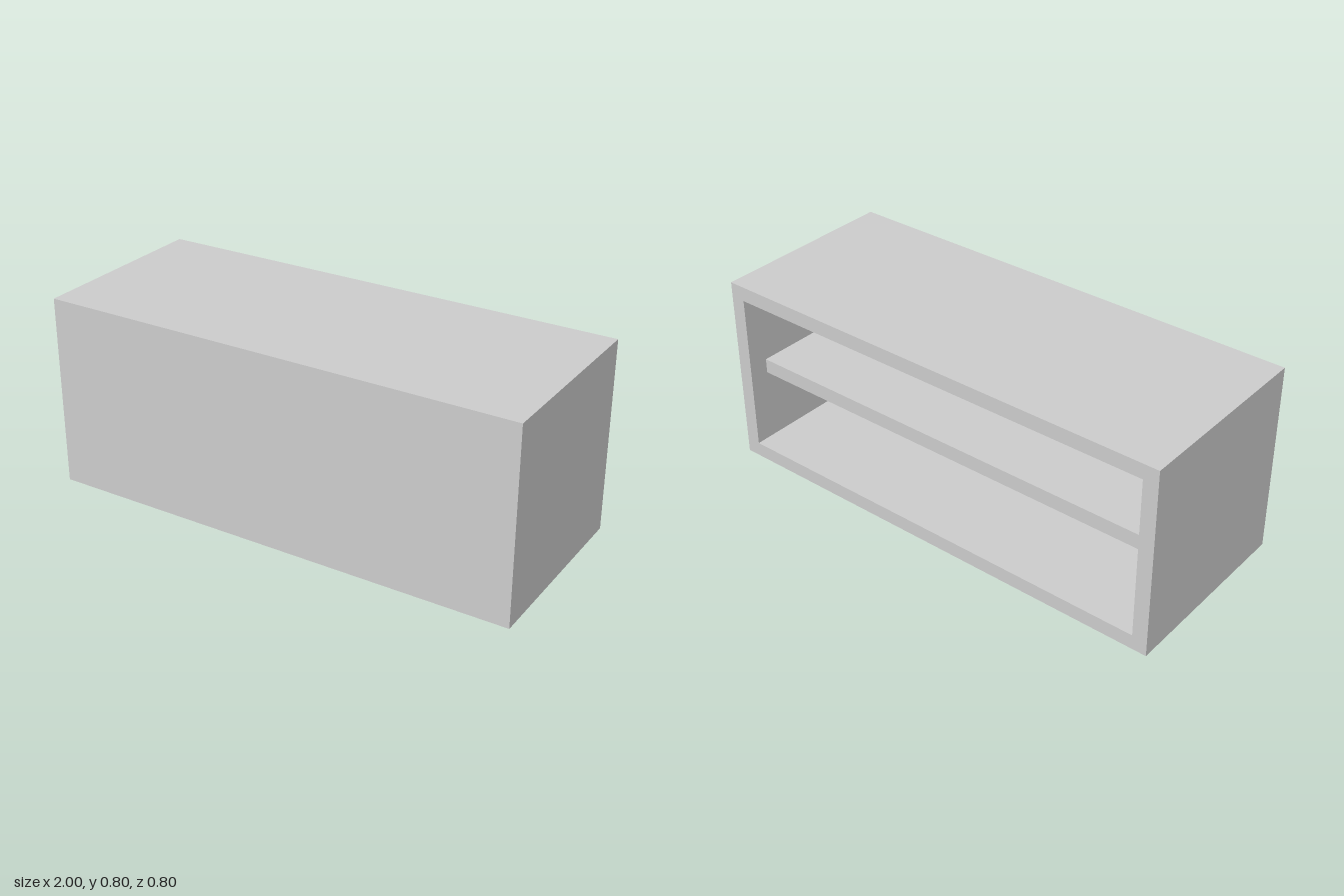
import * as THREE from 'three';

const W = 2, H = 0.8, D = 0.8; // outer size
const T = 0.062;               // board thickness
const RECESS = 0.084;          // shelf set back from the open rear

export function createModel() {
  const group = new THREE.Group();
  const material = new THREE.MeshStandardMaterial({ color: 0xcccccc });

  const add = (name, geometry, y, z) => {
    const mesh = new THREE.Mesh(geometry, material);
    mesh.name = name;
    mesh.position.set(0, y, z);
    group.add(mesh);
  };

  const rectangle = (Type, w, h) => new Type([
    new THREE.Vector2(-w / 2, -h / 2), new THREE.Vector2(w / 2, -h / 2),
    new THREE.Vector2(w / 2, h / 2), new THREE.Vector2(-w / 2, h / 2),
  ]);

  // Top, bottom and sides as one frame, open at the rear
  const outline = rectangle(THREE.Shape, W, H);
  outline.holes.push(rectangle(THREE.Path, W - 2 * T, H - 2 * T));
  const frame = new THREE.ExtrudeGeometry(outline, { depth: D - T, bevelEnabled: false });
  add('cabinetFrame', frame, H / 2, -D / 2);

  // Closed front
  add('frontPanel', new THREE.BoxGeometry(W, H, T), H / 2, D / 2 - T / 2);

  // Middle shelf, from the front panel to just short of the rear opening
  const shelfDepth = D - T - RECESS;
  add('shelf', new THREE.BoxGeometry(W - 2 * T, T, shelfDepth), H / 2, (RECESS - T) / 2);

  return group;
}
